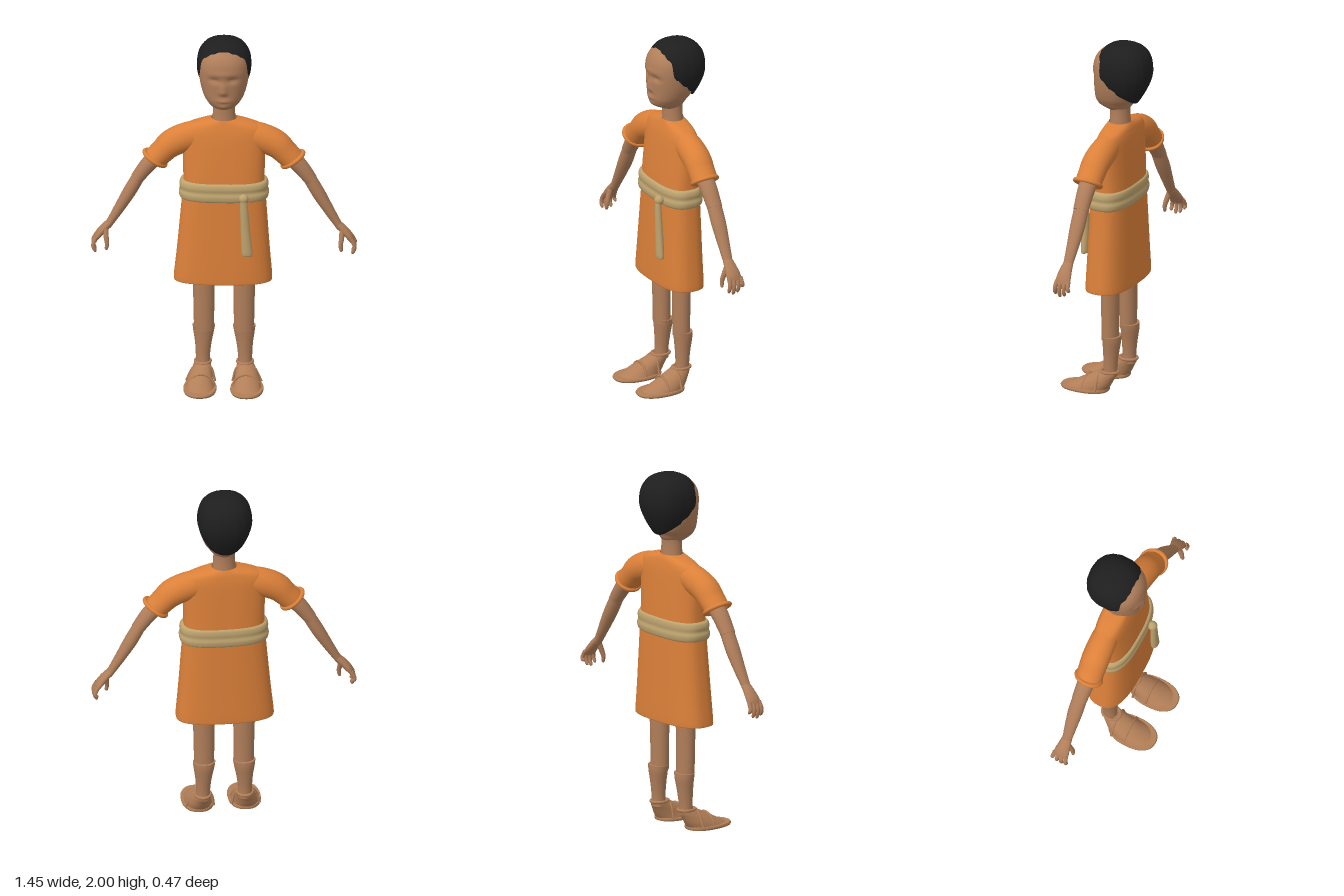
import * as THREE from 'three';

const mat = (name, color, side = THREE.FrontSide) => {
  const m = new THREE.MeshStandardMaterial({ color, side });
  m.name = name;
  return m;
};

// Catmull-Rom interpolation of every column of a table of rows
function smooth(rows, sub) {
  const out = [];
  for (let i = 0; i < rows.length - 1; i++) {
    const a = rows[Math.max(i - 1, 0)], b = rows[i], c = rows[i + 1], d = rows[Math.min(i + 2, rows.length - 1)];
    for (let k = 0; k < sub; k++) {
      const t = k / sub;
      out.push(b.map((v, j) => v + 0.5 * t * (c[j] - a[j] + t * (2 * a[j] - 5 * v + 4 * c[j] - d[j] + t * (3 * (v - c[j]) + d[j] - a[j])))));
    }
  }
  out.push(rows[rows.length - 1]);
  return out;
}

// Skin over closed rings of points, optionally capped at start and end
function skinRings(rings, capStart = true, capEnd = true) {
  const n = rings[0].length, pos = [], idx = [];
  rings.forEach(r => r.forEach(p => pos.push(p.x, p.y, p.z)));
  for (let i = 0; i < rings.length - 1; i++) {
    for (let j = 0; j < n; j++) {
      const a = i * n + j, b = i * n + (j + 1) % n;
      idx.push(a, b, a + n, b, b + n, a + n);
    }
  }
  const cap = (ring, flip) => {
    const base = pos.length / 3, mid = new THREE.Vector3();
    ring.forEach(p => { pos.push(p.x, p.y, p.z); mid.addScaledVector(p, 1 / n); });
    pos.push(mid.x, mid.y, mid.z);
    for (let j = 0; j < n; j++) {
      const a = base + j, b = base + (j + 1) % n;
      if (flip) idx.push(b, a, base + n); else idx.push(a, b, base + n);
    }
  };
  if (capStart) cap(rings[0], true);
  if (capEnd) cap(rings[rings.length - 1], false);
  const g = new THREE.BufferGeometry();
  g.setAttribute('position', new THREE.Float32BufferAttribute(pos, 3));
  g.setIndex(idx);
  g.computeVertexNormals();
  return g;
}

const pw = (v, n) => Math.sign(v) * Math.pow(Math.abs(v), 2 / n);

// Upright form: rows of [y, centreX, radiusX, zFront, zBack, squareness]
function upright(rows, { sub = 4, seg = 40, capStart = true, capEnd = true } = {}) {
  return skinRings(smooth(rows, sub).map(([y, cx, rx, zf, zb, n]) =>
    Array.from({ length: seg }, (_, j) => {
      const a = j / seg * Math.PI * 2;
      return new THREE.Vector3(cx + rx * pw(Math.sin(a), n), y, (zf + zb) / 2 + (zf - zb) / 2 * pw(Math.cos(a), n));
    })), capStart, capEnd);
}

// Limb along a path: rows of [x, y, z, radiusAcross, radiusInZ]
function limb(rows, side = 1, sub = 4, seg = 20) {
  const r = smooth(rows.map(([x, ...q]) => [x * side, ...q]), sub);
  const P = r.map(q => new THREE.Vector3(q[0], q[1], q[2]));
  return skinRings(r.map((q, i) => {
    const T = P[Math.min(i + 1, P.length - 1)].clone().sub(P[Math.max(i - 1, 0)]).normalize();
    const V = new THREE.Vector3(0, 0, 1).addScaledVector(T, -T.z).normalize();
    const U = V.clone().cross(T);
    return Array.from({ length: seg }, (_, j) => {
      const a = j / seg * Math.PI * 2;
      return P[i].clone().addScaledVector(U, q[3] * Math.cos(a)).addScaledVector(V, q[4] * Math.sin(a));
    });
  }));
}

// Face relief: [x, y, width, height, depth]
const relief = [
  [0, 1.765, 0.018, 0.03, 0.012], [0, 1.742, 0.022, 0.012, 0.009], [0.05, 1.812, 0.03, 0.016, -0.014], [-0.05, 1.812, 0.03, 0.016, -0.014],
  [0, 1.69, 0.035, 0.009, 0.007], [0, 1.715, 0.03, 0.008, -0.004], [0, 1.85, 0.07, 0.014, 0.004], [0, 1.655, 0.03, 0.012, 0.005],
];
function headGeometry() {
  const g = upright([
    [1.615, 0, 0.05, 0.015, -0.1, 2], [1.638, 0, 0.074, 0.062, -0.12, 2], [1.66, 0, 0.09, 0.078, -0.13, 2.1],
    [1.69, 0, 0.108, 0.084, -0.15, 2.2], [1.74, 0, 0.125, 0.086, -0.17, 2.2], [1.8, 0, 0.136, 0.09, -0.19, 2.2],
    [1.85, 0, 0.139, 0.092, -0.2, 2.2], [1.9, 0, 0.132, 0.084, -0.19, 2.2], [1.94, 0, 0.112, 0.062, -0.17, 2.1],
    [1.97, 0, 0.075, 0.02, -0.13, 2], [1.982, 0, 0.02, -0.04, -0.08, 2]], { sub: 6, seg: 96 });
  const p = g.attributes.position;
  for (let i = 0; i < p.count; i++) {
    if (p.getZ(i) < 0) continue;
    let dz = 0;
    for (const [x, y, w, h, d] of relief) dz += d * Math.exp(-(((p.getX(i) - x) / w) ** 2) - ((p.getY(i) - y) / h) ** 2);
    p.setZ(i, p.getZ(i) + dz);
  }
  g.computeVertexNormals();
  return g;
}

// Hair cap whose lower edge follows the hairline, with a lip turned inward
function hairGeometry() {
  const seg = 72, steps = 20, rings = [];
  for (let i = 0; i <= steps + 1; i++) {
    const t = Math.max(0.04, 1 - Math.min(i, steps) / steps), ring = [];
    for (let j = 0; j < seg; j++) {
      const a = j / seg * Math.PI * 2, c = Math.cos(a);
      const edge = 1.74 + (c > 0 ? 0.2 * Math.pow(c, 1.2) : 0.075 * c);
      const y = 2 - (2 - edge) * t * t, u = (y - 1.84) / 0.16;
      let f = u > 0 ? Math.pow(1 - Math.pow(u, 2.5), 0.4) : 1 - 0.42 * Math.pow(-u, 1.6);
      f *= 1 + 0.006 * Math.cos(a * 18);
      ring.push(new THREE.Vector3(0.149 * f * pw(Math.sin(a), 2.3), y, -0.08 + 0.153 * f * pw(c, 2.3)));
    }
    rings.push(ring);
  }
  rings.pop();
  const lip = rings[0].map(p => new THREE.Vector3(p.x * 0.86, p.y + 0.008, -0.08 + (p.z + 0.08) * 0.86));
  return skinRings([lip, ...rings], false, true);
}

export function createModel() {
  const skin = mat('skin', 0xb07e5a), cloth = mat('orange cloth', 0xdb8039, THREE.DoubleSide);
  const sash = mat('tan sash', 0xbda26e), hair = mat('black hair', 0x1e1e1e, THREE.DoubleSide), leather = mat('sandal leather', 0xb17e57);
  const model = new THREE.Group();
  model.name = 'figure';
  const add = (name, geo, m, parent = model) => {
    const mesh = new THREE.Mesh(geo, m);
    mesh.name = name;
    parent.add(mesh);
    return mesh;
  };

  // Head and neck
  add('head', headGeometry(), skin);
  add('hair', hairGeometry(), hair);
  add('neck', upright([[1.5, 0, 0.068, 0.005, -0.115, 2], [1.56, 0, 0.062, 0, -0.11, 2], [1.62, 0, 0.059, 0, -0.11, 2], [1.68, 0, 0.065, 0, -0.12, 2]]), skin);

  // Tunic, open at the hem
  add('tunic', upright([
    [0.625, -0.005, 0.25, 0.068, -0.15, 2.7], [0.612, -0.005, 0.264, 0.08, -0.16, 2.7], [0.63, -0.005, 0.268, 0.084, -0.164, 2.7],
    [0.8, -0.003, 0.252, 0.078, -0.16, 2.7], [1.1, 0, 0.228, 0.065, -0.153, 2.7], [1.2, 0, 0.222, 0.062, -0.15, 2.7],
    [1.38, 0, 0.226, 0.042, -0.142, 2.6], [1.46, 0, 0.232, 0.03, -0.137, 2.5], [1.5, 0, 0.21, 0.02, -0.131, 2.4],
    [1.525, 0, 0.15, 0.012, -0.125, 2.3], [1.545, 0, 0.07, 0.005, -0.115, 2]], { seg: 64, capStart: false, capEnd: false }), cloth);

  // Sash: two soft folds, knot and hanging tail
  add('sash', upright([
    [1.085, 0, 0.222, 0.06, -0.148, 2.7], [1.093, 0, 0.24, 0.077, -0.16, 2.7], [1.12, 0, 0.246, 0.082, -0.165, 2.7], [1.142, 0, 0.24, 0.076, -0.16, 2.7],
    [1.165, 0, 0.243, 0.079, -0.162, 2.7], [1.188, 0, 0.236, 0.073, -0.158, 2.7], [1.196, 0, 0.218, 0.056, -0.146, 2.7]], { seg: 64 }), sash);
  const knot = add('sashKnot', new THREE.SphereGeometry(0.027, 20, 14), sash);
  knot.position.set(0.11, 1.122, 0.09);
  add('sashTail', limb([[0.11, 1.125, 0.097, 0.018, 0.016], [0.113, 1.06, 0.098, 0.022, 0.018], [0.12, 0.93, 0.096, 0.026, 0.02],
    [0.129, 0.81, 0.096, 0.03, 0.021], [0.13, 0.79, 0.096, 0.026, 0.016]]), sash);

  for (const s of [1, -1]) {
    const name = s > 0 ? 'left' : 'right';

    // Sleeve and rolled cuff
    add(name + 'Sleeve', limb([[0.06, 1.455, -0.055, 0.068, 0.06], [0.18, 1.435, -0.054, 0.08, 0.073], [0.28, 1.395, -0.05, 0.077, 0.077],
      [0.335, 1.345, -0.048, 0.068, 0.075], [0.378, 1.3, -0.046, 0.066, 0.074]], s, 5, 32), cloth);
    const cuff = add(name + 'Cuff', new THREE.TorusGeometry(0.067, 0.012, 12, 36), cloth);
    cuff.position.set(0.376 * s, 1.305, -0.046);
    cuff.quaternion.setFromUnitVectors(new THREE.Vector3(0, 0, 1), new THREE.Vector3(0.57 * s, -0.82, 0).normalize());
    cuff.scale.set(1, 1.08, 1);

    // Arm
    add(name + 'UpperArm', limb([[0.33, 1.35, -0.048, 0.048, 0.052], [0.41, 1.27, -0.05, 0.044, 0.048], [0.475, 1.182, -0.052, 0.036, 0.043]], s), skin);
    add(name + 'Forearm', limb([[0.465, 1.195, -0.052, 0.035, 0.041], [0.515, 1.105, -0.053, 0.036, 0.042], [0.57, 1.01, -0.052, 0.029, 0.035],
      [0.618, 0.93, -0.05, 0.022, 0.028], [0.635, 0.905, -0.05, 0.021, 0.028]], s), skin);

    // Hand with four fingers and a thumb
    const hand = new THREE.Group();
    hand.name = name + 'Hand';
    model.add(hand);
    add('palm', limb([[0.62, 0.925, -0.05, 0.021, 0.028], [0.655, 0.89, -0.05, 0.022, 0.036], [0.684, 0.855, -0.051, 0.02, 0.043], [0.702, 0.825, -0.052, 0.013, 0.041]], s), skin, hand);
    for (let f = 0; f < 4; f++) {
      const z = -0.018 - f * 0.023, tip = [0.765, 0.752, 0.76, 0.785][f], fan = (1.5 - f) * 0.004;
      add('finger', limb([[0.695, 0.845, z, 0.011, 0.012], [0.711, 0.815, z + fan / 2, 0.011, 0.0115], [0.712, (0.815 + tip) / 2, z + fan, 0.0105, 0.011],
        [0.703, tip + 0.008, z + fan, 0.009, 0.009], [0.701, tip, z + fan, 0.004, 0.004]], s, 3, 12), skin, hand);
    }
    add('thumb', limb([[0.645, 0.895, -0.032, 0.015, 0.016], [0.642, 0.85, -0.015, 0.014, 0.015], [0.637, 0.815, -0.006, 0.012, 0.012],
      [0.641, 0.785, -0.004, 0.009, 0.009], [0.643, 0.778, -0.004, 0.004, 0.004]], s, 3, 12), skin, hand);

    // Leg
    add(name + 'Thigh', upright([[0.3, 0.109 * s, 0.055, -0.003, -0.095, 2], [0.5, 0.11 * s, 0.058, 0, -0.096, 2], [0.85, 0.112 * s, 0.066, 0.005, -0.105, 2]]), skin);
    add(name + 'Shin', upright([[0.09, 0.115 * s, 0.038, -0.01, -0.09, 2], [0.15, 0.115 * s, 0.039, -0.014, -0.09, 2], [0.22, 0.113 * s, 0.045, -0.012, -0.098, 2],
      [0.29, 0.111 * s, 0.057, -0.008, -0.108, 2], [0.325, 0.11 * s, 0.062, -0.004, -0.108, 2]]), skin);

    // Sandal: sole, upper, straps and ankle ring
    const sandal = new THREE.Group();
    sandal.name = name + 'Sandal';
    model.add(sandal);
    const cx = 0.128 * s;
    add('sole', upright([[0, cx, 0.088, 0.23, -0.044, 2.3], [0.009, cx, 0.091, 0.235, -0.046, 2.3], [0.018, cx, 0.088, 0.23, -0.044, 2.3]]), leather, sandal);
    add('upper', upright([[0.012, cx, 0.079, 0.212, -0.042, 2.2], [0.04, cx, 0.07, 0.155, -0.06, 2.1], [0.07, 0.124 * s, 0.06, 0.1, -0.076, 2],
      [0.095, 0.119 * s, 0.05, 0.05, -0.09, 2], [0.115, 0.115 * s, 0.043, 0.01, -0.094, 2]]), leather, sandal);
    for (const [z, arc] of [[0.08, [[0.076, 0.015], [0.067, 0.04], [0.042, 0.068], [0, 0.082]]], [0, [[0.078, 0.015], [0.07, 0.04], [0.06, 0.07], [0.046, 0.095], [0, 0.117]]]]) {
      const pts = [...arc, ...arc.slice(0, -1).reverse().map(([x, y]) => [-x, y])].map(([x, y]) => new THREE.Vector3(cx + x - 0.1 * y * s, y, z));
      add('strap', new THREE.TubeGeometry(new THREE.CatmullRomCurve3(pts), 32, 0.007, 8), leather, sandal);
    }
    const ring = add('ankleRing', new THREE.TorusGeometry(0.044, 0.008, 10, 32), leather, sandal);
    ring.rotation.x = Math.PI / 2;
    ring.scale.set(0.95, 1.15, 1);
    ring.position.set(0.115 * s, 0.115, -0.045);
  }
  return model;
}
